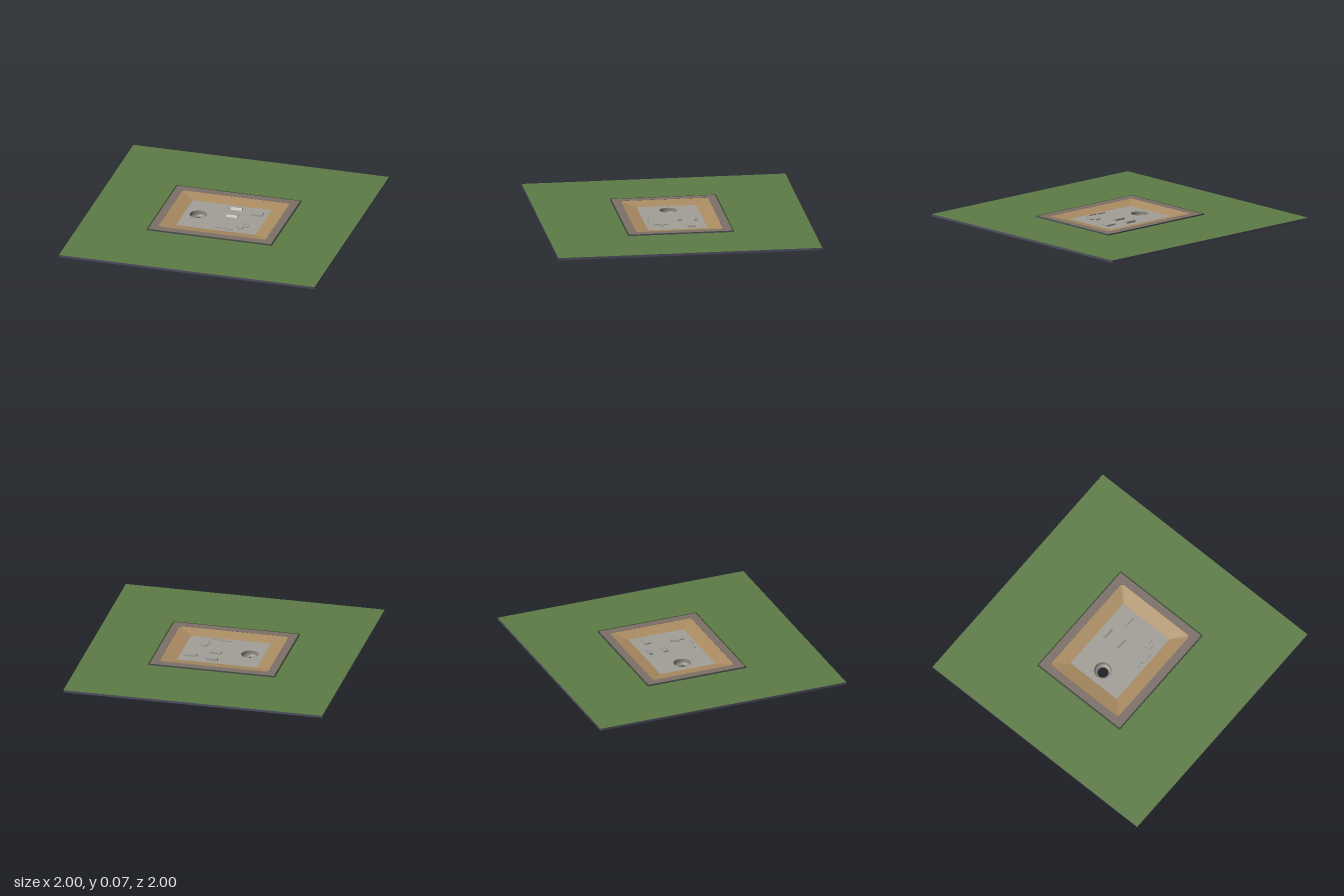
import * as THREE from 'three';

const mat = (name, color, side = THREE.FrontSide) => {
  const m = new THREE.MeshStandardMaterial({ color, side });
  m.name = name;
  return m;
};

// Rounded rectangle outline, counterclockwise, always the same point count
function outline(w, d, r) {
  const pts = [];
  [[1, 1], [-1, 1], [-1, -1], [1, -1]].forEach(([sx, sy], q) => {
    for (let i = 0; i <= 4; i++) {
      const a = (q + i / 4) * Math.PI / 2;
      pts.push(new THREE.Vector2(sx * (w - r) + r * Math.cos(a), sy * (d - r) + r * Math.sin(a)));
    }
  });
  return pts;
}

const rect = (w, d) => [[w, d], [-w, d], [-w, -d], [w, -d]].map(([x, y]) => new THREE.Vector2(x, y));

// Flat slab with a hole, lying between two heights
function slab(outer, hole, y0, y1) {
  const shape = new THREE.Shape(outer);
  shape.holes.push(new THREE.Path(hole));
  return new THREE.ExtrudeGeometry(shape, { depth: y1 - y0, bevelEnabled: false })
    .rotateX(-Math.PI / 2).translate(0, y0, 0);
}

// Sloping band between two outlines at different heights
function slope(outer, yo, inner, yi) {
  const v = [], n = outer.length;
  const put = (p, y) => v.push(p.x, y, -p.y);
  for (let i = 0; i < n; i++) {
    const j = (i + 1) % n;
    put(outer[i], yo); put(outer[j], yo); put(inner[i], yi);
    put(outer[j], yo); put(inner[j], yi); put(inner[i], yi);
  }
  const g = new THREE.BufferGeometry();
  g.setAttribute('position', new THREE.Float32BufferAttribute(v, 3));
  g.computeVertexNormals();
  return g;
}

export function createModel() {
  const group = new THREE.Group();
  const grass = mat('grass', 0x5c7b45);
  const darkGrass = mat('dark green', 0x36472c);
  const edge = mat('slate edge', 0x4e4d5f);
  const stone = mat('brown stone', 0x7c6f68);
  const sand = mat('sand', 0xaa8c62, THREE.DoubleSide);
  const concrete = mat('concrete', 0xa29f98, THREE.DoubleSide);
  const cupGrey = mat('cup grey', 0x8a847c, THREE.DoubleSide);

  const add = (name, geo, material, x = 0, y = 0, z = 0) => {
    const m = new THREE.Mesh(geo, material);
    m.name = name;
    m.position.set(x, y, z);
    group.add(m);
    return m;
  };

  // Lawn, border strip and stone rim
  const FLOOR = 0.046, CUP_X = -0.2, CUP_R = 0.068;
  add('lawn', slab(rect(1, 1), rect(0.49, 0.402), 0.042, 0.06), [grass, edge]);
  add('rimBorder', slab(rect(0.49, 0.402), rect(0.48, 0.393), 0.044, 0.068), [darkGrass, edge]);
  add('stoneRim', slab(rect(0.48, 0.393), outline(0.42, 0.33, 0.025), 0.058, 0.068), [stone, edge]);

  // Sloping sand sides
  add('sandSlope', slope(outline(0.42, 0.33, 0.025), 0.067, outline(0.31, 0.225, 0.004), FLOOR), sand);

  // Basin floor with the cup opening
  const floor = new THREE.Shape(rect(0.31, 0.225));
  floor.holes.push(new THREE.Path().absarc(CUP_X, 0, CUP_R - 0.002, 0, Math.PI * 2, true));
  add('basinFloor', new THREE.ShapeGeometry(floor, 24).rotateX(-Math.PI / 2), concrete, 0, FLOOR, 0);

  // Open-bottomed rounded cup
  const profile = [new THREE.Vector2(0.041, 0)];
  for (let i = 0; i <= 6; i++) {
    const a = i / 6 * Math.PI / 2;
    profile.push(new THREE.Vector2(0.042 + 0.025 * Math.sin(a), 0.025 * (1 - Math.cos(a))));
  }
  profile.push(new THREE.Vector2(CUP_R, FLOOR));
  add('cup', new THREE.LatheGeometry(profile, 32), cupGrey, CUP_X, 0, 0);

  // Low blocks on the floor; the first two have a sloped front or back
  const block = (name, x, z, w, d, h, lean = 0) => {
    const g = new THREE.BoxGeometry(w, h, d).translate(0, h / 2, 0);
    const p = g.attributes.position;
    for (let i = 0; i < p.count; i++) {
      if (p.getY(i) > h / 2 && p.getZ(i) * lean > 0) p.setZ(i, p.getZ(i) - lean);
    }
    g.computeVertexNormals();
    add(name, g, concrete, x, FLOOR, z);
  };
  block('rearLedge', 0.053, -0.164, 0.088, 0.034, 0.016, 0.014);
  block('middleLedge', 0.053, -0.04, 0.088, 0.042, 0.014, 0.014);
  block('squareBlock', 0.225, -0.118, 0.088, 0.055, 0.012);
  block('crossLong', 0.17, 0.11, 0.038, 0.11, 0.009);
  block('crossWide', 0.178, 0.108, 0.085, 0.038, 0.007);
  for (const [x, z] of [[0.02, 0.185], [0.1, 0.195]]) block('thinRail', x, z, 0.07, 0.006, 0.008);

  return group;
}
